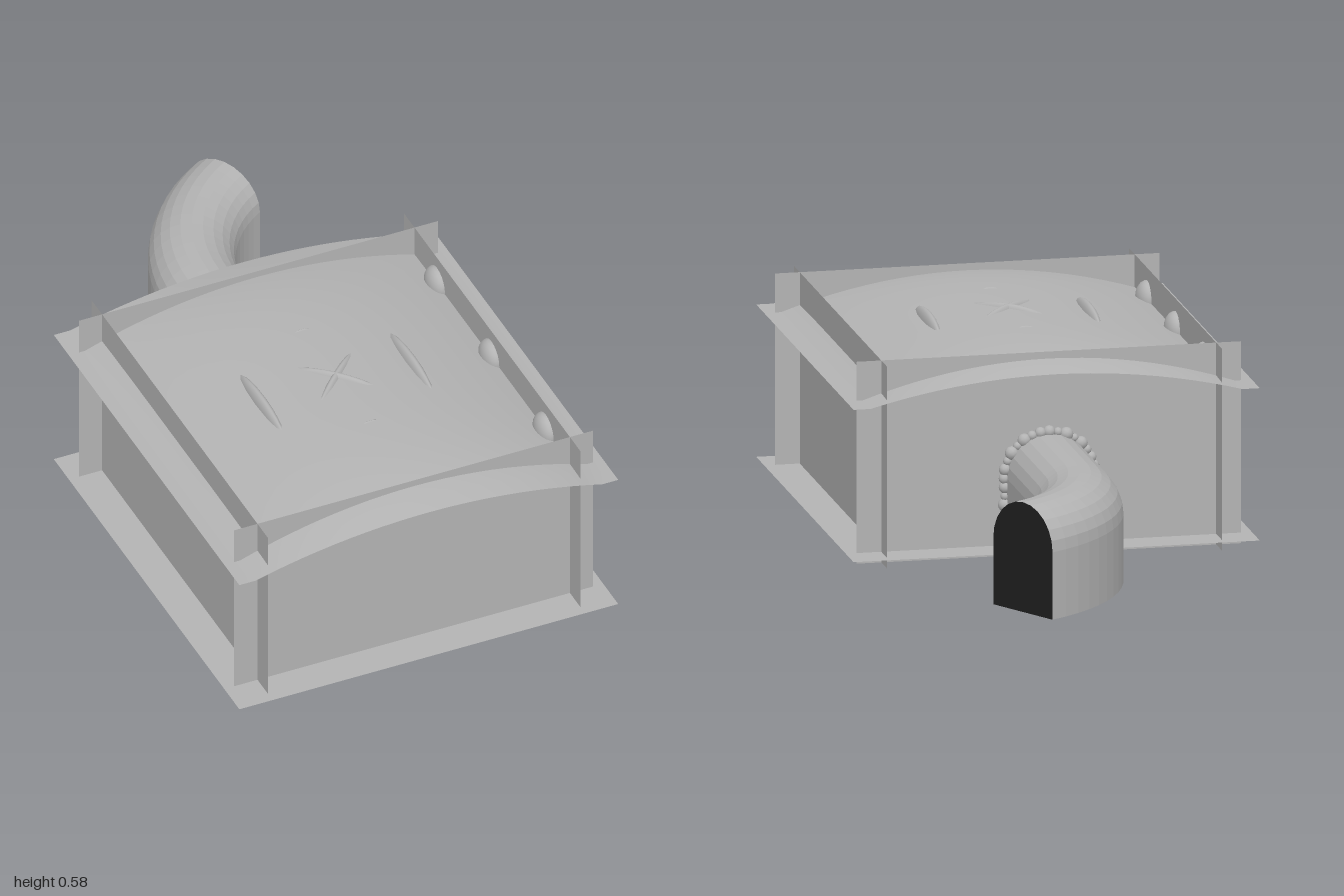
import * as THREE from 'three';

const MID_Z = 0.385; // centre of the box, the pipe reaches behind it

export function createModel() {
  const model = new THREE.Group();
  const sheetMetal = new THREE.MeshStandardMaterial({ color: 0xb3b3b3, side: THREE.DoubleSide });
  sheetMetal.name = 'grey sheet metal';
  const darkOpening = new THREE.MeshStandardMaterial({ color: 0x1f1f1f, side: THREE.DoubleSide });
  darkOpening.name = 'black opening';

  const add = (name, geometry, x = 0, y = 0, z = 0, material = sheetMetal) => {
    const mesh = new THREE.Mesh(geometry, material);
    mesh.name = name;
    mesh.position.set(x, y, z);
    model.add(mesh);
    return mesh;
  };

  // Floor sheet and four crossing wall sheets
  add('floor', new THREE.PlaneGeometry(1.14, 1.23).rotateX(-Math.PI / 2), 0, 0.03, MID_Z);
  add('frontWall', new THREE.PlaneGeometry(1.08, 0.57), 0, 0.285, 0.9);
  add('backWall', new THREE.PlaneGeometry(1.08, 0.57).rotateY(Math.PI), 0, 0.285, -0.13);
  for (const s of [-1, 1]) {
    add(s > 0 ? 'leftWall' : 'rightWall',
      new THREE.PlaneGeometry(1.17, 0.57).rotateY(s * Math.PI / 2), s * 0.47, 0.285, MID_Z);
  }

  // Domed roof sheet with a flat rim along the sides
  const roofHeight = (x, z) => {
    const across = Math.max(0, 1 - (x / 0.5225) ** 2);
    return 0.46 + across * (0.07 + 0.04 * (1 - ((z - MID_Z) / 0.615) ** 4));
  };
  const roof = new THREE.PlaneGeometry(1.14, 1.23, 24, 24).rotateX(-Math.PI / 2).translate(0, 0, MID_Z);
  const p = roof.attributes.position;
  for (let i = 0; i < p.count; i++) p.setY(i, roofHeight(p.getX(i), p.getZ(i)));
  roof.computeVertexNormals();
  add('roof', roof);

  // Raised ribs on the roof: lens shapes sunk into the sheet
  const rib = (name, x, z, length, top, angle, width = 0.016) => {
    const g = new THREE.SphereGeometry(1, 12, 12).scale(width, 0.04, length / 2);
    add(name, g, x, top - 0.04, z).rotation.y = angle;
  };
  for (const s of [-1, 1]) {
    rib('crossRib', 0, MID_Z, 0.3, 0.581, s * Math.PI / 4);
    rib('sideRib', s * 0.225, MID_Z, 0.3, 0.573, 0, 0.018);
    rib('smallRib', 0, MID_Z + s * 0.225, 0.1, 0.573, Math.PI / 2, 0.008);
  }

  // Rounded lugs where the roof meets the side walls
  for (const s of [-1, 1]) {
    for (const z of [0.02, 0.38, 0.74]) {
      const half = new THREE.SphereGeometry(1, 12, 10, s > 0 ? -Math.PI / 2 : Math.PI / 2, Math.PI);
      add('roofLug', half.scale(0.033, 0.05, 0.052), s * 0.47, 0.485, z);
    }
  }

  // Arched pipe section: flat bottom, straight sides, round top
  const R = 0.12, BOTTOM = 0.03, SPRING = 0.22;
  const section = [[R, BOTTOM]];
  for (let i = 0; i <= 12; i++) {
    const a = i / 12 * Math.PI;
    section.push([R * Math.cos(a), SPRING + R * Math.sin(a)]);
  }
  section.push([-R, BOTTOM]);

  // Pipe path: straight out of the back wall, then a 60 degree bend toward the left
  const BEND = 0.48, TURN = Math.PI / 3, STEPS = 12;
  const rings = [{ x: 0, z: -0.13, a: 0 }];
  for (let i = 0; i <= STEPS; i++) {
    const a = i / STEPS * TURN;
    rings.push({ x: BEND * (1 - Math.cos(a)), z: -0.468 - BEND * Math.sin(a), a });
  }
  const positions = [], index = [], n = section.length;
  for (const r of rings) {
    for (const [u, y] of section) positions.push(r.x + u * Math.cos(r.a), y, r.z + u * Math.sin(r.a));
  }
  for (let j = 0; j < rings.length - 1; j++) {
    for (let i = 0; i < n; i++) {
      const a = j * n + i, b = j * n + (i + 1) % n;
      index.push(a, a + n, b, b, a + n, b + n);
    }
  }
  const indexed = new THREE.BufferGeometry();
  indexed.setAttribute('position', new THREE.Float32BufferAttribute(positions, 3));
  indexed.setIndex(index);
  const pipe = indexed.toNonIndexed();
  pipe.computeVertexNormals();
  add('pipe', pipe);

  // Black face closing the end of the pipe
  const end = rings[rings.length - 1];
  const opening = new THREE.ShapeGeometry(new THREE.Shape(section.map(([u, y]) => new THREE.Vector2(-u, y))));
  opening.rotateY(Math.PI - end.a);
  add('pipeOpening', opening, end.x, 0, end.z, darkOpening);

  // Lumpy weld bead around the pipe at the back wall
  const bead = (x, y, i) => {
    add('weldBead', new THREE.IcosahedronGeometry(0.016 + 0.004 * Math.sin(i * 2.7), 1), x, y, -0.135);
  };
  for (let i = 0; i <= 16; i++) {
    const a = i / 16 * Math.PI;
    bead(0.126 * Math.cos(a), SPRING + 0.126 * Math.sin(a), i);
  }
  for (const s of [-1, 1]) {
    for (let i = 1; i <= 7; i++) bead(s * 0.124, SPRING - i * 0.025, i);
  }

  return model;
}
